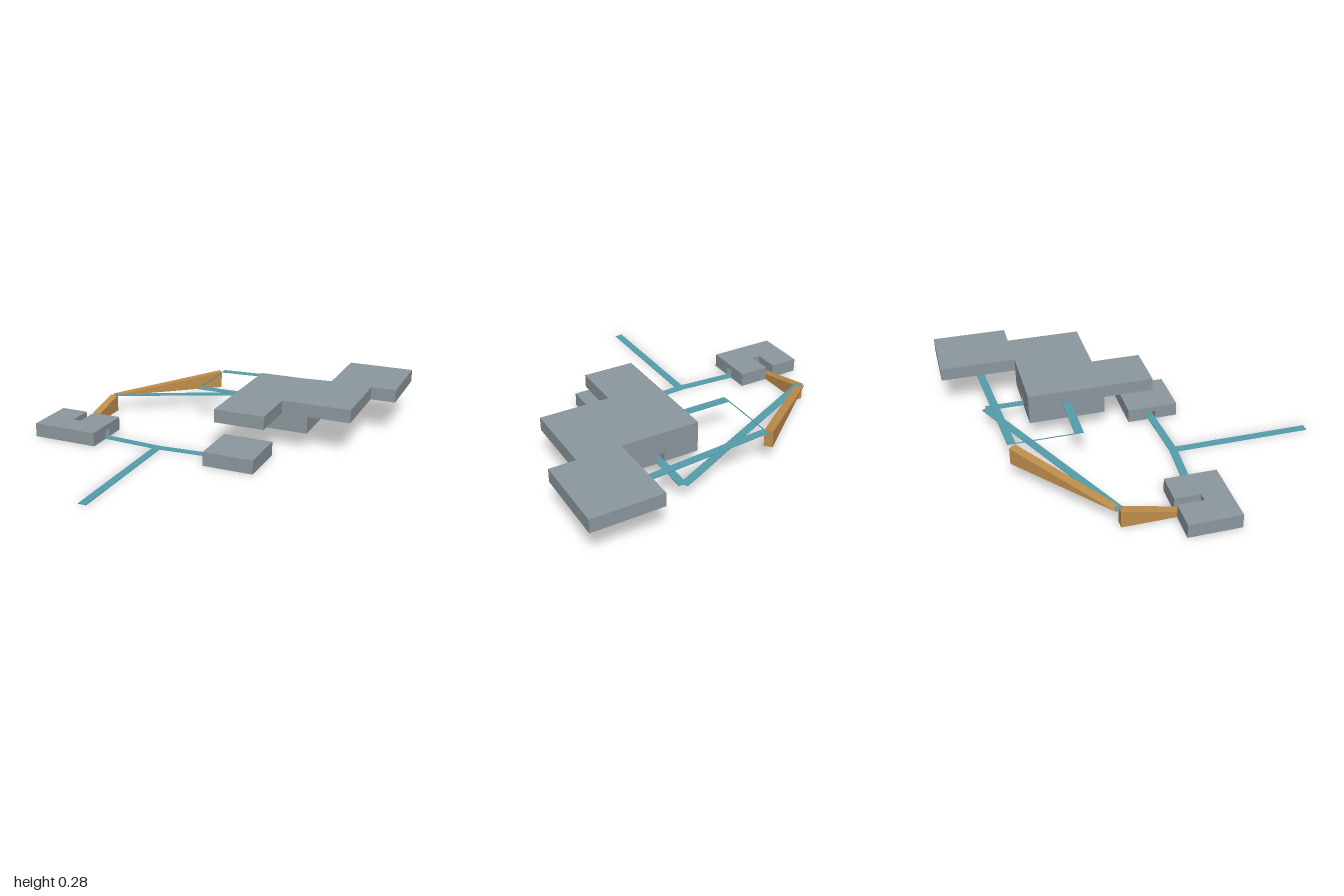
import * as THREE from 'three';

export function createModel() {
  const model = new THREE.Group();
  const mat = (name, color) => {
    const m = new THREE.MeshStandardMaterial({ color });
    m.name = name;
    return m;
  };
  const grey = mat('slate grey', 0x8c989f);
  const teal = mat('path teal', 0x559eac);
  const orange = mat('ramp orange', 0xc08f4c);

  const add = (name, geometry, material) => {
    const mesh = new THREE.Mesh(geometry, material);
    mesh.name = name;
    model.add(mesh);
    return mesh;
  };

  // Upright prism over a floor plan given as [x, z] corners
  const prism = (name, plan, y0, y1) => {
    const shape = new THREE.Shape(plan.map(([x, z]) => new THREE.Vector2(x, -z)));
    const g = new THREE.ExtrudeGeometry(shape, { depth: y1 - y0, bevelEnabled: false });
    g.rotateX(-Math.PI / 2);
    g.translate(0, y0, 0);
    return add(name, g, grey);
  };

  // Thin flat walkway between two [x, z] points
  const walkway = (name, [x0, z0], [x1, z1], y, width = 0.045) => {
    const length = Math.hypot(x1 - x0, z1 - z0);
    const mesh = add(name, new THREE.BoxGeometry(length, 0.004, width), teal);
    mesh.position.set((x0 + x1) / 2, y + 0.002, (z0 + z1) / 2);
    mesh.rotation.y = Math.atan2(z0 - z1, x1 - x0);
  };

  // Solid wedge rising from the first [x, z] point to the second
  const ramp = (name, [x0, z0], [x1, z1], y, rise, width = 0.048) => {
    const length = Math.hypot(x1 - x0, z1 - z0);
    const side = new THREE.Shape([
      new THREE.Vector2(0, 0), new THREE.Vector2(length, 0), new THREE.Vector2(length, rise),
    ]);
    const g = new THREE.ExtrudeGeometry(side, { depth: width, bevelEnabled: false });
    g.translate(0, 0, -width / 2);
    const mesh = add(name, g, orange);
    mesh.position.set(x0, y, z0);
    mesh.rotation.y = Math.atan2(z0 - z1, x1 - x0);
  };

  // Ramp house: slot open to the back and roof, doorway on its left side
  const slot = [[-0.735, 0.025], [-0.735, 0.17], [-0.785, 0.17], [-0.785, 0.025]];
  const door = [[-0.56, 0.19], [-0.62, 0.19], [-0.62, 0.145], [-0.56, 0.145]];
  const front = [[-0.95, 0.025], [-0.95, 0.32], [-0.56, 0.32]];
  prism('rampHouseWalls', [...front, ...door, [-0.56, 0.025], ...slot], 0, 0.05);
  prism('rampHouseRoof', [...front, [-0.56, 0.025], ...slot], 0.05, 0.08);

  // Small front house with a doorway on its right side
  prism('frontHouseWalls', [
    [0.12, 0.025], [0.12, 0.145], [0.18, 0.145], [0.18, 0.19], [0.12, 0.19],
    [0.12, 0.32], [0.41, 0.32], [0.41, 0.025],
  ], 0, 0.05);
  prism('frontHouseRoof', [[0.12, 0.025], [0.12, 0.32], [0.41, 0.32], [0.41, 0.025]], 0.05, 0.08);

  // Middle storey with a doorway in the back
  prism('middleStoreyWalls', [
    [0.12, -0.56], [0.12, -0.12], [0.56, -0.12], [0.56, -0.56],
    [0.362, -0.56], [0.362, -0.5], [0.318, -0.5], [0.318, -0.56],
  ], 0.1, 0.15);
  prism('middleStoreyTop', [[0.12, -0.56], [0.12, -0.12], [0.56, -0.12], [0.56, -0.56]], 0.15, 0.2);

  // Stepped upper storey
  prism('upperStorey', [
    [0.12, -0.56], [0.12, 0.17], [0.41, 0.17], [0.41, -0.12],
    [0.805, -0.12], [0.805, -0.56], [0.95, -0.56], [0.95, -1], [0.56, -1], [0.56, -0.56],
  ], 0.2, 0.275);

  // Small plate under the middle storey
  const plate = add('undersidePlate', new THREE.BoxGeometry(0.05, 0.003, 0.04), orange);
  plate.position.set(0.34, 0.0995, -0.34);

  // Ground walkways
  walkway('entryPath', [-0.22, 1], [-0.22, 0.19], 0);
  walkway('rampHousePath', [-0.62, 0.164], [-0.22, 0.19], 0);
  walkway('frontHousePath', [-0.22, 0.19], [0.18, 0.164], 0);

  // Middle level walkways
  walkway('middlePath', [-0.76, -0.27], [0.335, -0.782], 0.1);
  walkway('middleDoorPath', [0.34, -0.78], [0.34, -0.5], 0.1);

  // Upper level walkways
  walkway('upperPath', [-0.2, -0.712], [0.56, -0.77], 0.2);
  walkway('upperSidePath', [-0.2, -0.342], [0.12, -0.342], 0.2, 0.05);
  walkway('upperLink', [-0.2, -0.71], [-0.2, -0.342], 0.2, 0.004);

  // Ramps
  ramp('lowerRamp', [-0.76, 0.17], [-0.76, -0.27], 0, 0.1);
  ramp('upperRamp', [-0.765, -0.272], [-0.22, -0.712], 0.1, 0.1);

  return model;
}
